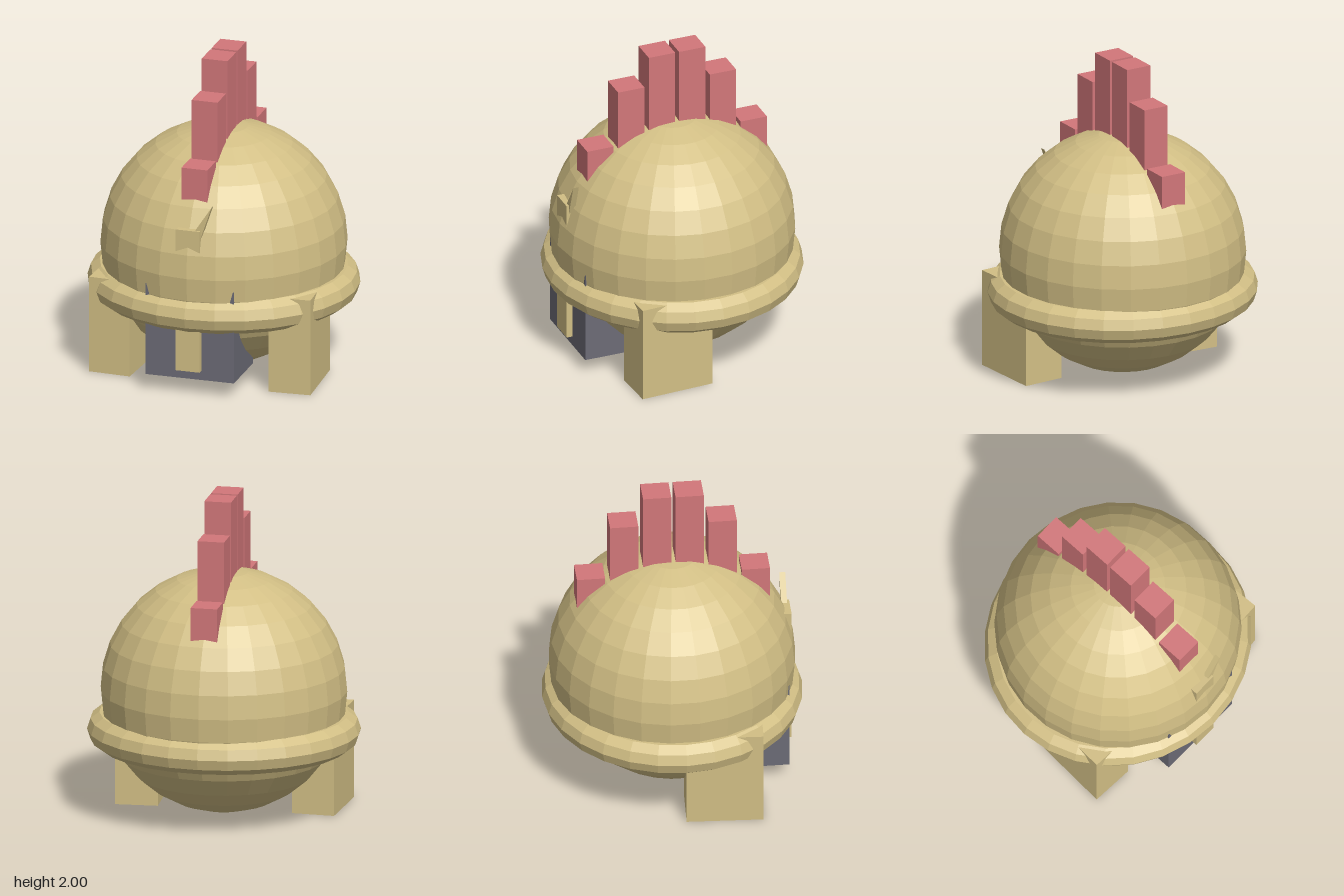
import * as THREE from 'three';

const material = (name, color) => {
  const m = new THREE.MeshStandardMaterial({ color });
  m.name = name;
  return m;
};

// Faceted look: every face gets its own normal
function faceted(geometry) {
  const g = geometry.index ? geometry.toNonIndexed() : geometry;
  g.computeVertexNormals();
  return g;
}

export function createModel() {
  const model = new THREE.Group();
  model.name = 'crestedHelmet';
  const sand = material('sand', 0xd2bf85);
  const red = material('crestRed', 0xd2777a);
  const slate = material('slate', 0x6c6b76);

  function add(name, geometry, mat, x = 0, y = 0, z = 0) {
    const mesh = new THREE.Mesh(geometry, mat);
    mesh.name = name;
    mesh.position.set(x, y, z);
    model.add(mesh);
    return mesh;
  }

  // Box given by its lower and upper bounds
  function addBox(name, mat, [x0, y0, z0], [x1, y1, z1]) {
    return add(name, new THREE.BoxGeometry(x1 - x0, y1 - y0, z1 - z0), mat,
      (x0 + x1) / 2, (y0 + y1) / 2, (z0 + z1) / 2);
  }

  // Round dome
  const dome = new THREE.SphereGeometry(0.757, 26, 16);
  dome.rotateY(Math.PI / 2);
  add('dome', faceted(dome), sand, 0, 0.77, 0);

  // Brim ring, slightly narrower from front to back
  const brim = new THREE.TorusGeometry(0.73, 0.11, 10, 28);
  brim.rotateX(Math.PI / 2);
  brim.scale(1, 1, 0.952);
  add('brim', faceted(brim), sand, 0, 0.522, 0);

  // Cheek guards, turned slightly outwards
  for (const side of [1, -1]) {
    const guard = add(side > 0 ? 'leftCheekGuard' : 'rightCheekGuard',
      new THREE.BoxGeometry(0.265, 0.615, 0.472), sand, side * 0.565, 0.3075, 0.257);
    guard.rotation.y = side * 0.054;
  }

  // Face opening and nose guard
  addBox('faceOpening', slate, [-0.284, 0.1, 0.31], [0.284, 0.69, 0.69]);
  addBox('noseGuard', sand, [-0.077, 0.16, 0.66], [0.077, 1.075, 0.728]);

  // Small pointed fin beside the top of the nose guard
  const finShape = new THREE.Shape([[-0.02, 0.98], [0.053, 0.95], [0.147, 1.233]]
    .map(([x, y]) => new THREE.Vector2(x, y)));
  const fin = new THREE.ExtrudeGeometry(finShape, { depth: 0.037, bevelEnabled: false });
  add('browFin', fin, sand, 0, 0, 0.676);

  // Crest of upright blocks, tallest in the middle
  const crest = [[0.1, 2.0], [0.303, 1.8], [0.507, 1.43]];
  for (const side of [1, -1]) {
    crest.forEach(([z, top], i) => {
      const c = side * z;
      addBox(`${side > 0 ? 'front' : 'back'}CrestBlock${i + 1}`, red,
        [-0.083, 1.15, c - 0.087], [0.083, top, c + 0.087]);
    });
  }

  return model;
}
